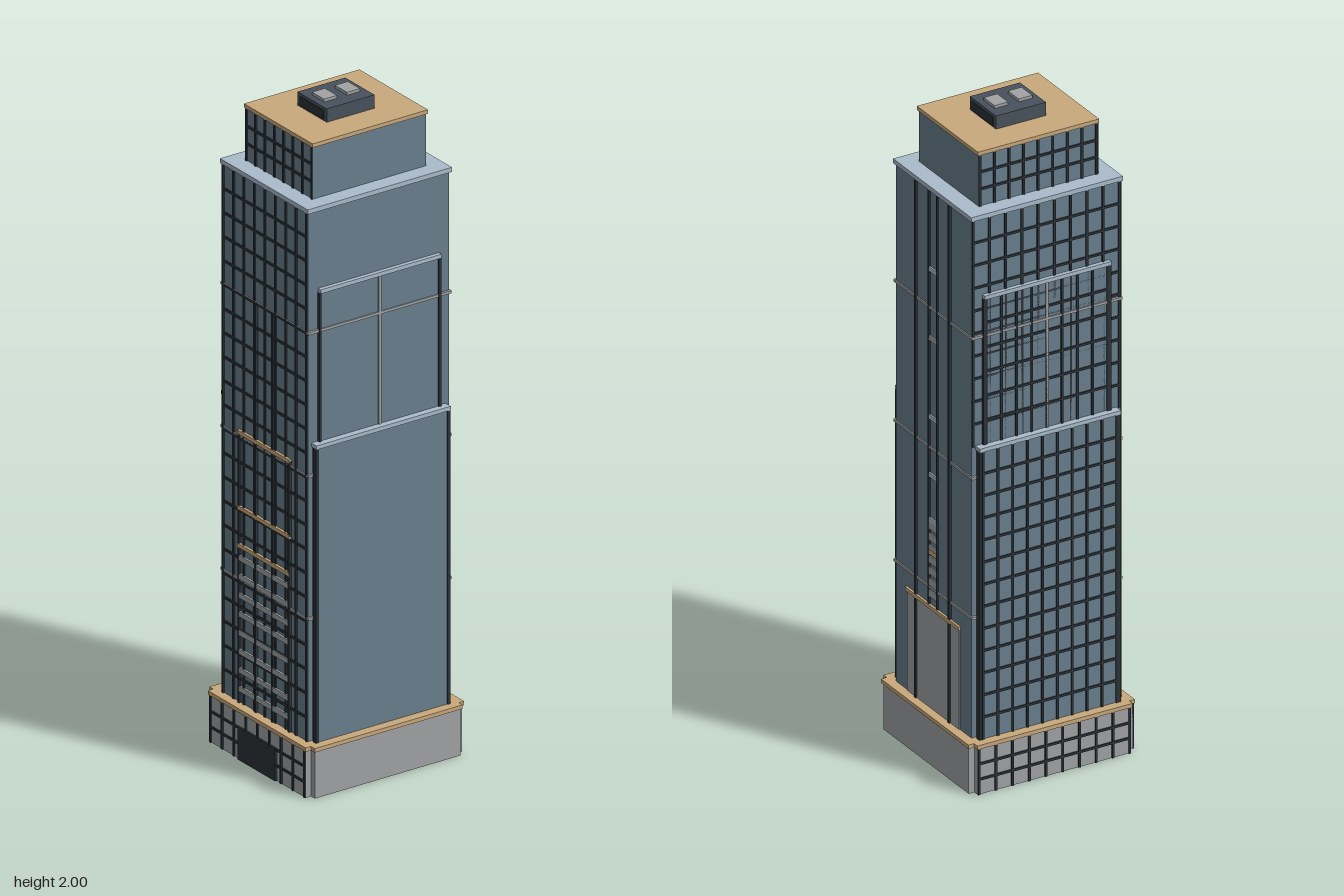
import * as THREE from 'three';

export function createModel() {
  const tower = new THREE.Group();
  tower.name = 'tower';
  const paint = (name, color) => {
    const m = new THREE.MeshStandardMaterial({ color });
    m.name = name;
    return m;
  };
  const glass = paint('blueGlass', 0x6a7f8d);
  const dark = paint('darkFrame', 0x2b3238);
  const stone = paint('paleStone', 0xa0a3a5);
  const bronze = paint('bronzeTrim', 0xc9a97c);
  const steel = paint('paleBlueTrim', 0xabbbcb);
  const plant = paint('plantGrey', 0x48525c);

  // Box given by its limits on each axis
  const box = (name, mat, x0, x1, y0, y1, z0, z1, parent = tower) => {
    const mesh = new THREE.Mesh(new THREE.BoxGeometry(x1 - x0, y1 - y0, z1 - z0), mat);
    mesh.position.set((x0 + x1) / 2, (y0 + y1) / 2, (z0 + z1) / 2);
    mesh.name = name;
    parent.add(mesh);
    return mesh;
  };
  // Box centred on the vertical axis
  const block = (name, mat, hx, hz, y0, y1) => box(name, mat, -hx, hx, y0, y1, -hz, hz);

  // Mullion grid on the back (-z) or on the right side (-x)
  const grid = (name, side, plane, half, y0, y1, cols, rows) => {
    const g = new THREE.Group();
    g.name = name;
    tower.add(g);
    const t = 0.0035, out = 0.004;
    const bar = (a0, a1, b0, b1) => side === 'back'
      ? box('mullion', dark, a0, a1, b0, b1, -plane - out, -plane + 0.002, g)
      : box('mullion', dark, -plane - out, -plane + 0.002, b0, b1, a0, a1, g);
    for (let i = 0; i <= cols; i++) {
      const a = -half + t + (2 * (half - t) * i) / cols;
      bar(a - t, a + t, y0, y1);
    }
    for (let j = 1; j < rows; j++) {
      const b = y0 + ((y1 - y0) * j) / rows;
      bar(-half, half, b - t, b + t);
    }
  };

  // Podium with notched corners and a bronze coping
  const plan = (hx, hz, nx, nz) => {
    const s = new THREE.Shape();
    [[hx, hz - nz], [hx - nx, hz - nz], [hx - nx, hz], [nx - hx, hz], [nx - hx, hz - nz], [-hx, hz - nz],
      [-hx, nz - hz], [nx - hx, nz - hz], [nx - hx, -hz], [hx - nx, -hz], [hx - nx, nz - hz], [hx, nz - hz]]
      .forEach(([x, z], i) => (i ? s.lineTo(x, z) : s.moveTo(x, z)));
    return s;
  };
  const slab = (name, mat, shape, y0, y1) => {
    const geo = new THREE.ExtrudeGeometry(shape, { depth: y1 - y0, bevelEnabled: false });
    geo.rotateX(-Math.PI / 2);
    geo.translate(0, y0, 0);
    const mesh = new THREE.Mesh(geo, mat);
    mesh.name = name;
    tower.add(mesh);
  };
  slab('podium', stone, plan(0.265, 0.247, 0.018, 0.018), 0, 0.143);
  slab('podiumCoping', bronze, plan(0.269, 0.252, 0.018, 0.018), 0.143, 0.155);
  grid('podiumBackGrid', 'back', 0.247, 0.247, 0, 0.143, 9, 3);
  grid('podiumSideGrid', 'side', 0.265, 0.229, 0, 0.143, 8, 3);
  box('entrance', dark, -0.271, -0.262, 0, 0.1, -0.09, 0.09);

  // Main shaft, roof edge and belt courses
  block('shaft', glass, 0.24, 0.203, 0.155, 1.765);
  block('roofEdge', steel, 0.245, 0.21, 1.765, 1.779);
  for (const y of [0.53, 0.965, 1.4]) block('beltCourse', stone, 0.2435, 0.2105, y - 0.004, y + 0.004);
  grid('shaftBackGrid', 'back', 0.203, 0.24, 1.06, 1.765, 9, 10);
  grid('shaftSideGrid', 'side', 0.24, 0.203, 0.155, 1.765, 8, 22);

  // Front and back: lower slab plus shallow bay above
  for (const s of [1, -1]) {
    const face = (name, mat, x0, x1, y0, y1, za, zb) =>
      box(name, mat, x0, x1, y0, y1, Math.min(s * za, s * zb), Math.max(s * za, s * zb));
    face('lowerSlab', glass, -0.224, 0.224, 0.155, 1.05, 0.2, 0.223);
    face('lowerSlabCap', steel, -0.228, 0.228, 1.05, 1.062, 0.2, 0.228);
    face('upperBay', glass, -0.205, 0.205, 1.06, 1.515, 0.2, 0.207);
    face('upperBayCap', steel, -0.205, 0.205, 1.515, 1.527, 0.2, 0.216);
    face('bayCentreFin', stone, -0.004, 0.004, 1.062, 1.515, 0.2, 0.211);
    for (const m of [1, -1]) {
      face('bayEdgeFin', dark, m * 0.203 - 0.004, m * 0.203 + 0.004, 1.062, 1.515, 0.2, 0.212);
      face('slabCornerFin', dark, m * 0.224 - 0.005, m * 0.224 + 0.005, 0.155, 1.05, 0.212, 0.226);
    }
  }
  grid('slabBackGrid', 'back', 0.223, 0.22, 0.155, 1.05, 9, 13);
  grid('bayBackGrid', 'back', 0.207, 0.2, 1.062, 1.515, 8, 6);

  // Left side: stone panel, fins and central service strip
  box('sidePanel', stone, 0.235, 0.2425, 0.155, 0.465, -0.14, 0.14);
  box('sidePanelCap', bronze, 0.235, 0.247, 0.465, 0.477, -0.144, 0.144);
  for (const z of [-0.09, 0.09]) box('sideFin', dark, 0.235, 0.247, 0.155, 1.765, z - 0.004, z + 0.004);
  for (const z of [-0.022, 0.022]) box('stripEdge', dark, 0.235, 0.2445, 0.477, 1.765, z - 0.0035, z + 0.0035);
  for (let y = 0.5; y < 0.73; y += 0.035) box('stripRung', stone, 0.235, 0.2435, y, y + 0.022, -0.019, 0.019);
  for (const [y, mat] of [[0.64, bronze], [0.74, steel], [0.88, steel], [1.06, steel], [1.305, stone], [1.52, steel]])
    box('stripLedge', mat, 0.235, 0.2445, y - 0.007, y + 0.007, -0.019, 0.019);

  // Right side: framed balcony stack
  for (const z of [-0.12, -0.04, 0.04, 0.12])
    box('balconyFin', dark, -0.247, -0.235, 0.155, z * z > 0.01 ? 0.98 : 1.4, z - 0.004, z + 0.004);
  for (let i = 0; i < 8; i++) {
    const y = 0.19 + i * 0.057;
    box('balconyLedge', stone, -0.2465, -0.235, y, y + 0.016, -0.12, 0.12);
  }
  for (const y of [0.635, 0.75, 0.98]) box('balconyCap', bronze, -0.248, -0.235, y - 0.006, y + 0.006, -0.124, 0.124);

  // Crown, roof plate and plant room
  block('crown', glass, 0.192, 0.16, 1.779, 1.938);
  block('crownRoof', bronze, 0.196, 0.164, 1.938, 1.95);
  grid('crownBackGrid', 'back', 0.16, 0.192, 1.779, 1.938, 8, 3);
  grid('crownSideGrid', 'side', 0.192, 0.16, 1.779, 1.938, 7, 3);
  block('plantRoom', plant, 0.081, 0.07, 1.95, 1.991);
  for (const s of [1, -1]) {
    box('plantLouvre', dark, s * 0.081 - 0.003, s * 0.081 + 0.003, 1.955, 1.982, -0.057, 0.057);
    box('roofVent', stone, s * 0.039 - 0.022, s * 0.039 + 0.022, 1.991, 2, -0.029, 0.029);
  }
  return tower;
}
